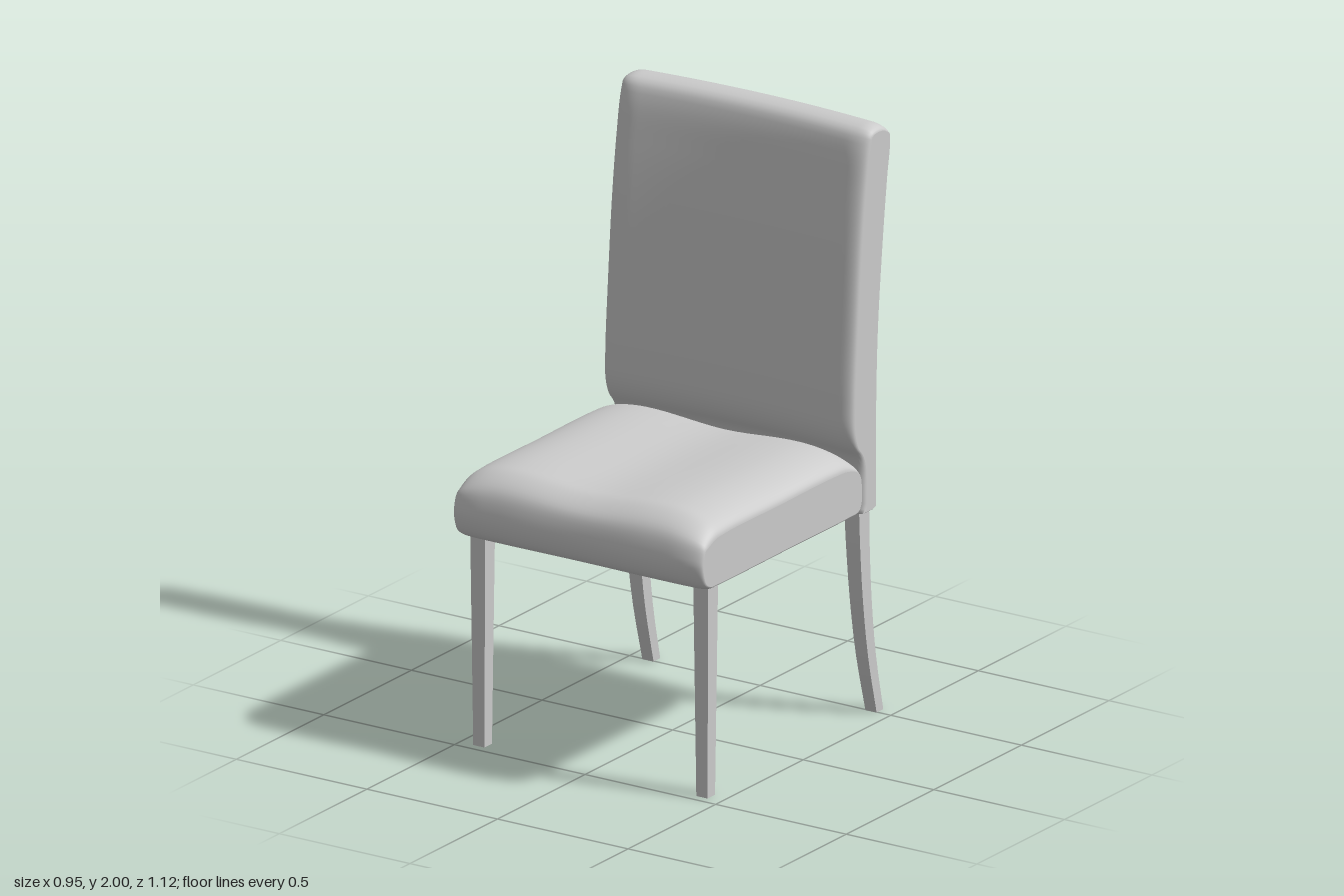
import * as THREE from 'three';

const HALF = 0.477; // half width of the upholstery
const material = new THREE.MeshStandardMaterial({ color: 0xcccccc });

// Skin a list of rings (each counter-clockwise about the loft direction) and close both ends.
function loft(rings, flat) {
  const n = rings[0].length, last = rings.length - 1;
  const pos = rings.flat().flatMap(p => p.toArray());
  const index = [];
  for (let i = 0; i < last; i++) {
    for (let j = 0; j < n; j++) {
      const k = (j + 1) % n;
      const a = i * n + j, b = i * n + k, c = b + n, d = a + n;
      index.push(a, b, c, a, c, d);
    }
  }
  // End caps keep their own vertices so their rims stay sharp
  for (const [ring, start] of [[rings[0], true], [rings[last], false]]) {
    const o = pos.length / 3;
    ring.forEach(p => pos.push(p.x, p.y, p.z));
    for (let j = 0; j < n / 2 - 1; j++) {
      const a = o + j, b = a + 1, c = o + n - 2 - j, d = c + 1;
      if (start) index.push(a, c, b, a, d, c);
      else index.push(a, b, c, a, c, d);
    }
  }
  let geo = new THREE.BufferGeometry();
  geo.setAttribute('position', new THREE.Float32BufferAttribute(pos, 3));
  geo.setIndex(index);
  if (flat) geo = geo.toNonIndexed();
  geo.computeVertexNormals();
  return geo;
}

// Cushion: a (z, y) side profile carried across x. inset(|x|) tells how far the
// top, front and bottom faces draw in, and how far the whole section shifts in z.
function cushion(points, inset) {
  const curve = new THREE.CatmullRomCurve3(
    points.map(([z, y]) => new THREE.Vector3(0, y, z)), true, 'centripetal');
  curve.arcLengthDivisions = 1000;
  const count = 140, steps = 56;
  const profile = Array.from({ length: count }, (_, j) => {
    const t = curve.getTangentAt(j / count);
    return { p: curve.getPointAt(j / count), ny: t.z, nz: -t.y };
  });
  const rings = [];
  for (let i = 0; i <= steps; i++) {
    const x = HALF * Math.sin((i / steps - 0.5) * Math.PI);
    const { top, front, bottom, shift } = inset(Math.abs(x));
    rings.push(profile.map(({ p, ny, nz }) => new THREE.Vector3(
      x,
      p.y - top * Math.max(0, ny) - bottom * Math.min(0, ny),
      p.z - front * Math.max(0, nz) + shift)));
  }
  return loft(rings, false);
}

// Quarter-round falloff from 0 at HALF - width to 1 at the side edge
function rounding(x, width) {
  const u = THREE.MathUtils.clamp((x - HALF + width) / width, 0, 1);
  return 1 - Math.sqrt(1 - u * u);
}

// Square leg from sections [y, z centre, width in x, depth in z]
function leg(sections, x) {
  return loft(sections.map(([y, z, w, d]) =>
    [[1, 1], [1, -1], [-1, -1], [-1, 1]].map(([sx, sz]) =>
      new THREE.Vector3(x + sx * w / 2, y, z + sz * d / 2))), true);
}

export function createModel() {
  const group = new THREE.Group();
  const add = (name, geometry) => {
    const mesh = new THREE.Mesh(geometry, material);
    mesh.name = name;
    group.add(mesh);
  };

  // Seat cushion: rounded front, softly dished centre
  add('seat', cushion([
    [-0.2, 0.957], [0.1, 0.957], [0.4, 0.957], [0.47, 0.948], [0.535, 0.905], [0.56, 0.84],
    [0.562, 0.79], [0.542, 0.74], [0.5, 0.717], [0.45, 0.714], [0, 0.714], [-0.3, 0.714],
    [-0.35, 0.718], [-0.368, 0.75], [-0.37, 0.8], [-0.36, 0.87], [-0.33, 0.92], [-0.28, 0.95],
  ], x => {
    const dish = Math.cos(Math.min(1, x / 0.28) * Math.PI) * 0.5 + 0.5;
    return {
      top: 0.017 * dish + 0.07 * rounding(x, 0.19),
      front: 0.006 * dish + 0.028 * rounding(x, 0.12),
      bottom: 0.012 * rounding(x, 0.04),
      shift: 0,
    };
  }));

  // Backrest: raked slab, bowed backwards at the middle
  add('backrest', cushion([
    [-0.445, 2.0], [-0.405, 1.985], [-0.385, 1.94], [-0.36, 1.8], [-0.335, 1.6], [-0.31, 1.3],
    [-0.297, 1.1], [-0.298, 1.0], [-0.315, 0.95], [-0.345, 0.91], [-0.36, 0.86], [-0.362, 0.75],
    [-0.364, 0.715], [-0.37, 0.71], [-0.44, 0.71], [-0.448, 0.715], [-0.45, 0.75], [-0.45, 1.0],
    [-0.46, 1.3], [-0.488, 1.6], [-0.515, 1.82], [-0.53, 1.92], [-0.525, 1.97], [-0.49, 1.997],
  ], x => ({
    top: 0.022 * rounding(x, 0.05),
    front: 0.035 * rounding(x, 0.08),
    bottom: 0.006 * rounding(x, 0.03),
    shift: -0.03 * (1 - (x / HALF) ** 2),
  })));

  // Rear leg path sweeps backwards towards the floor
  const sweep = new THREE.CatmullRomCurve3([
    [-0.515, 0], [-0.467, 0.2], [-0.437, 0.4], [-0.42, 0.6], [-0.414, 0.73],
  ].map(([z, y]) => new THREE.Vector3(0, y, z)));
  const rear = sweep.getPoints(12).map(p => {
    const t = p.y / 0.73;
    return [p.y, p.z, 0.043 + 0.014 * t, 0.038 + 0.02 * t];
  });
  const front = [[0, 0.448, 0.043, 0.043], [0.73, 0.448, 0.057, 0.057]];

  for (const [side, s] of [['left', 1], ['right', -1]]) {
    add(side + 'FrontLeg', leg(front, s * 0.427));
    add(side + 'RearLeg', leg(rear, s * 0.427));
  }
  return group;
}
